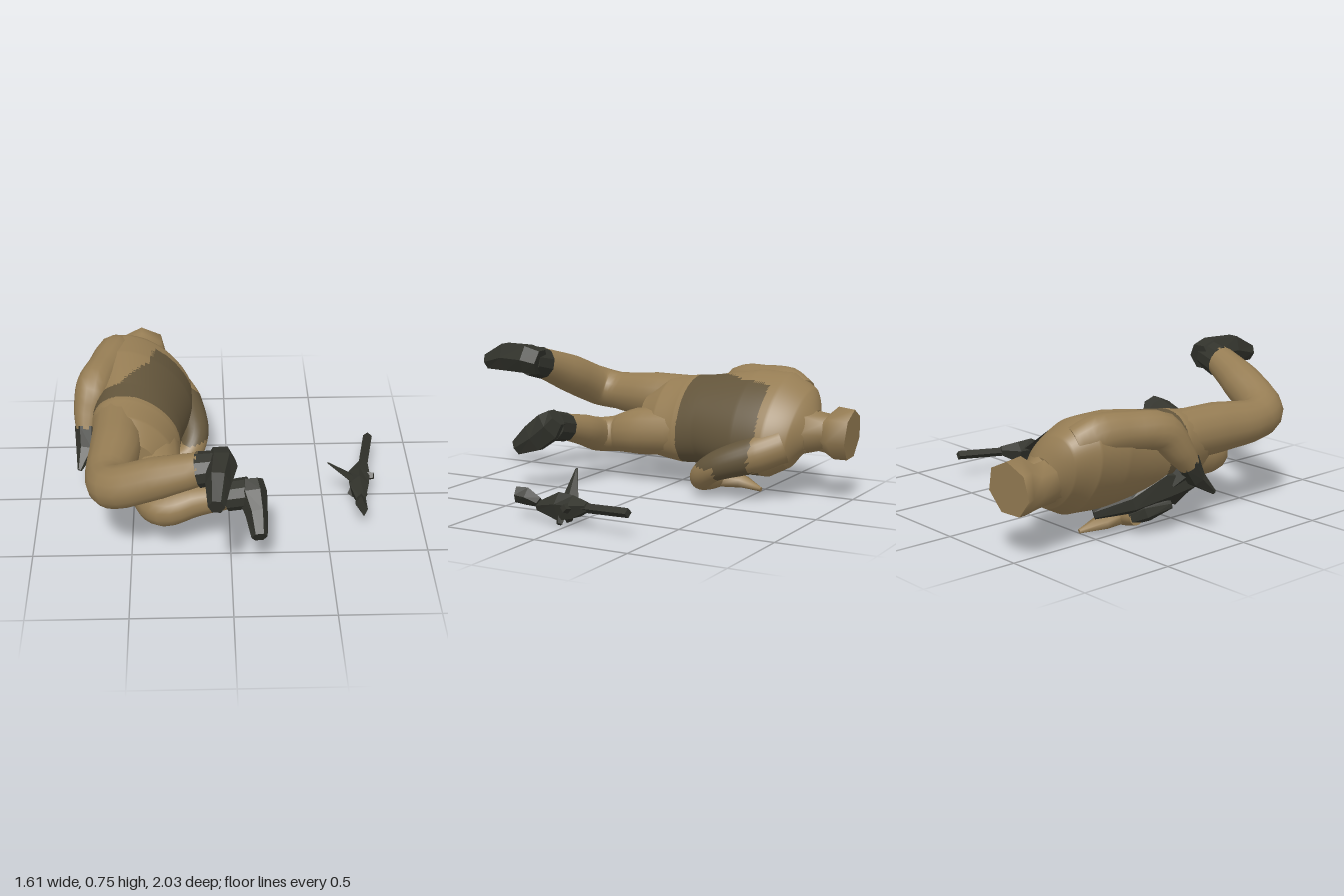
import * as THREE from 'three';

const mat = (name, color, flat = false) => {
  const m = new THREE.MeshStandardMaterial({ color, flatShading: flat });
  m.name = name;
  return m;
};

// Lofts elliptical rings [x, y, z, a, b] along a smoothed path.
// ref gives the direction of radius a; rule(point) picks a material index per face.
function sweep(rings, ref, { sides = 14, sub = 4, rule = () => 0 } = {}) {
  const curve = new THREE.CatmullRomCurve3(rings.map(r => new THREE.Vector3(r[0], r[1], r[2])));
  const n = (rings.length - 1) * sub;
  const pos = [], lists = [[], []];
  const point = i => new THREE.Vector3(...pos.slice(i * 3, i * 3 + 3));
  const add = (a, b, c) => {
    const mid = point(a).add(point(b)).add(point(c)).divideScalar(3);
    lists[rule(mid)].push(a, b, c);
  };
  const ring = k => {
    const t = k / n, s = Math.min(Math.floor(k / sub), rings.length - 2), f = k / sub - s;
    const c = curve.getPoint(t), dir = curve.getTangent(t);
    const u = new THREE.Vector3(...ref).projectOnPlane(dir).normalize();
    const v = dir.clone().cross(u);
    const [ra, rb] = [3, 4].map(q => {
      const r0 = rings[s][q] ?? rings[s][3], r1 = rings[s + 1][q] ?? rings[s + 1][3];
      return r0 + (r1 - r0) * f;
    });
    const base = pos.length / 3;
    for (let j = 0; j < sides; j++) {
      const w = (j / sides) * Math.PI * 2;
      const p = c.clone().addScaledVector(u, ra * Math.cos(w)).addScaledVector(v, rb * Math.sin(w));
      pos.push(p.x, p.y, p.z);
    }
    return { base, c };
  };
  const bases = [];
  for (let k = 0; k <= n; k++) bases.push(ring(k).base);
  for (let k = 0; k < n; k++) {
    for (let j = 0; j < sides; j++) {
      const j2 = (j + 1) % sides, A = bases[k], B = bases[k + 1];
      add(A + j, A + j2, B + j);
      add(A + j2, B + j2, B + j);
    }
  }
  // End caps on their own rings keep the rims sharp
  for (const k of [0, n]) {
    const { base, c } = ring(k);
    const mid = pos.length / 3;
    pos.push(c.x, c.y, c.z);
    for (let j = 0; j < sides; j++) {
      const j2 = (j + 1) % sides;
      if (k) add(mid, base + j, base + j2);
      else add(mid, base + j2, base + j);
    }
  }
  const g = new THREE.BufferGeometry();
  g.setAttribute('position', new THREE.Float32BufferAttribute(pos, 3));
  g.setIndex(lists.flat());
  g.addGroup(0, lists[0].length, 0);
  g.addGroup(lists[0].length, lists[1].length, 1);
  g.computeVertexNormals();
  return g;
}

export function createModel() {
  const model = new THREE.Group();
  model.name = 'lyingFigure';
  const tan = mat('tanCloth', 0x967d54);
  const brown = mat('brownCloth', 0x63553b);
  const black = mat('darkGear', 0x32332c, true);

  const part = (name, geo, material, parent = model) => {
    const m = new THREE.Mesh(geo, material);
    m.name = name;
    parent.add(m);
    return m;
  };
  const cloth = [tan, brown];
  const low = { sides: 6, sub: 1 };
  const gear = (name, rings, ref = [0, 1, 0], parent = model, opt = low) =>
    part(name, sweep(rings, ref, opt), [black, black], parent);

  // Torso, rolled onto its side, with waist band and lower back patch
  const patch = p => {
    if (p.z > -0.08 || p.z < -0.57) return 0;
    const edge = p.z < -0.4 ? -0.41 + (-0.4 - p.z) * 0.15 : -0.41 - (p.z + 0.4) * 0.75;
    return p.z > -0.19 || p.x > edge ? 1 : 0;
  };
  part('torso', sweep([
    [-0.44, 0.36, -0.79, 0.12, 0.09],
    [-0.44, 0.37, -0.73, 0.24, 0.15],
    [-0.44, 0.38, -0.62, 0.31, 0.20],
    [-0.45, 0.38, -0.45, 0.31, 0.21],
    [-0.47, 0.37, -0.20, 0.26, 0.20],
    [-0.48, 0.36, -0.06, 0.26, 0.19],
    [-0.48, 0.36, 0.08, 0.24, 0.165],
    [-0.48, 0.36, 0.20, 0.13, 0.10],
  ], [-0.7, 0.7, 0], { sides: 72, sub: 18, rule: patch }), cloth);

  // Neck and blocky head
  part('neck', sweep([
    [-0.44, 0.36, -0.74, 0.13], [-0.46, 0.35, -0.86, 0.09],
  ], [0, 1, 0], { sides: 8, sub: 1 }), cloth);
  part('head', sweep([
    [-0.49, 0.355, -0.79, 0.105, 0.105],
    [-0.49, 0.345, -0.87, 0.105, 0.11],
    [-0.465, 0.355, -0.93, 0.14, 0.14],
    [-0.47, 0.35, -1.0, 0.135, 0.14],
  ], [0, 1, 0], { sides: 7, sub: 1 }), cloth);

  // Legs, bent at the knee
  part('rightLeg', sweep([
    [-0.57, 0.45, -0.06, 0.13], [-0.58, 0.45, 0.22, 0.13], [-0.61, 0.455, 0.47, 0.105],
    [-0.57, 0.48, 0.58, 0.11], [-0.36, 0.575, 0.65, 0.105], [-0.14, 0.66, 0.70, 0.08],
  ], [0.2, 1, -0.2]), cloth);
  part('leftLeg', sweep([
    [-0.39, 0.30, -0.06, 0.135], [-0.375, 0.28, 0.2, 0.13], [-0.39, 0.25, 0.36, 0.10],
    [-0.33, 0.25, 0.44, 0.095], [-0.18, 0.295, 0.44, 0.085], [-0.01, 0.34, 0.465, 0.07],
  ], [0, 1, 0]), cloth);

  // Boots
  const boot = (name, shaft, foot) => {
    const g = new THREE.Group();
    g.name = name;
    model.add(g);
    gear(name + 'Shaft', shaft, [0, 1, 0], g, { sides: 10, sub: 1 });
    gear(name + 'Foot', foot, [1, 0, 0], g);
  };
  boot('rightBoot', [[-0.16, 0.65, 0.695, 0.087], [-0.05, 0.675, 0.71, 0.08]], [
    [-0.055, 0.67, 0.64, 0.07, 0.075], [-0.05, 0.685, 0.72, 0.075, 0.085],
    [-0.07, 0.685, 0.87, 0.06, 0.085], [-0.08, 0.65, 1.0, 0.04, 0.045],
  ]);
  boot('leftBoot', [[-0.02, 0.335, 0.463, 0.078], [0.09, 0.36, 0.475, 0.08]], [
    [0.10, 0.41, 0.435, 0.06, 0.06], [0.105, 0.36, 0.48, 0.075, 0.09],
    [0.125, 0.29, 0.57, 0.055, 0.085], [0.135, 0.23, 0.67, 0.04, 0.045],
  ]);

  // Arms
  part('rightArm', sweep([
    [-0.56, 0.52, -0.68, 0.09], [-0.60, 0.555, -0.58, 0.105], [-0.65, 0.56, -0.42, 0.095],
    [-0.705, 0.54, -0.26, 0.095], [-0.735, 0.44, -0.18, 0.075], [-0.745, 0.36, -0.12, 0.055],
  ], [1, 0, 0]), cloth);
  const sleeve = p => (p.z > -0.56 && p.x > -0.3 && (p.z < -0.38 || p.y > 0.17) ? 1 : 0);
  part('leftArm', sweep([
    [-0.30, 0.30, -0.68, 0.10], [-0.23, 0.25, -0.56, 0.10], [-0.175, 0.17, -0.35, 0.075],
    [-0.22, 0.10, -0.26, 0.065], [-0.41, 0.06, -0.25, 0.055, 0.065], [-0.57, 0.085, -0.30, 0.035],
  ], [0, 1, 0.3], { sides: 24, sub: 8, rule: sleeve }), cloth);
  part('cuffFlap', sweep([
    [-0.42, 0.055, -0.28, 0.045, 0.06], [-0.43, 0.05, -0.40, 0.035, 0.06], [-0.40, 0.025, -0.52, 0.012],
  ], [0, 1, 0], low), cloth);

  // Gloved hands and chest gear
  gear('rightHand', [
    [-0.745, 0.38, -0.13, 0.06], [-0.745, 0.28, -0.07, 0.055, 0.045], [-0.78, 0.2, 0.02, 0.012],
  ], [1, 0, 0]);
  gear('leftHand', [
    [-0.54, 0.085, -0.30, 0.04], [-0.60, 0.12, -0.26, 0.05, 0.04], [-0.67, 0.15, -0.16, 0.02],
  ]);
  gear('chestGear', [
    [-0.46, 0.12, -0.48, 0.03], [-0.56, 0.17, -0.32, 0.06, 0.05],
    [-0.63, 0.25, -0.16, 0.11, 0.06], [-0.69, 0.26, -0.04, 0.05],
  ]);
  [[-0.60, 0.19, -0.10], [-0.67, 0.29, -0.10], [-0.56, 0.14, -0.24]].forEach(([x, y, z], i) => {
    const p = part('pouch' + (i + 1), new THREE.BoxGeometry(0.08, 0.1, 0.11), black);
    p.position.set(x, y, z);
    p.rotation.set(0.3, 0.4 * i, 0.7);
  });

  // Dropped rifle lying apart from the figure
  const rifle = new THREE.Group();
  rifle.name = 'rifle';
  model.add(rifle);
  const four = { sides: 4, sub: 1 };
  gear('barrel', [[0.78, 0.13, -0.38, 0.024], [0.72, 0.11, -0.08, 0.024]], [0, 1, 0], rifle, four);
  gear('receiver', [
    [0.73, 0.12, -0.13, 0.025], [0.70, 0.1, -0.04, 0.06, 0.06],
    [0.69, 0.09, 0.05, 0.075, 0.055], [0.69, 0.08, 0.18, 0.022],
  ], [0, 1, 0], rifle, { sides: 5, sub: 1 });
  gear('stock', [
    [0.69, 0.10, 0.17, 0.025], [0.68, 0.12, 0.25, 0.045, 0.03], [0.69, 0.125, 0.31, 0.04, 0.02],
  ], [0, 1, 0], rifle, four);
  gear('sling', [[0.65, 0.125, 0.02, 0.045, 0.018], [0.52, 0.25, 0.06, 0.006, 0.004]], [0, 0, 1], rifle, four);
  gear('magazine', [[0.7, 0.08, 0.0, 0.04], [0.65, 0.02, 0.03, 0.02]], [0, 0, 1], rifle, four);
  gear('grip', [[0.7, 0.06, 0.04, 0.03], [0.73, 0.015, 0.03, 0.015]], [0, 0, 1], rifle, four);
  gear('sideLever', [[0.72, 0.1, -0.03, 0.03], [0.775, 0.11, -0.02, 0.02]], [0, 1, 0], rifle, four);
  return model;
}
